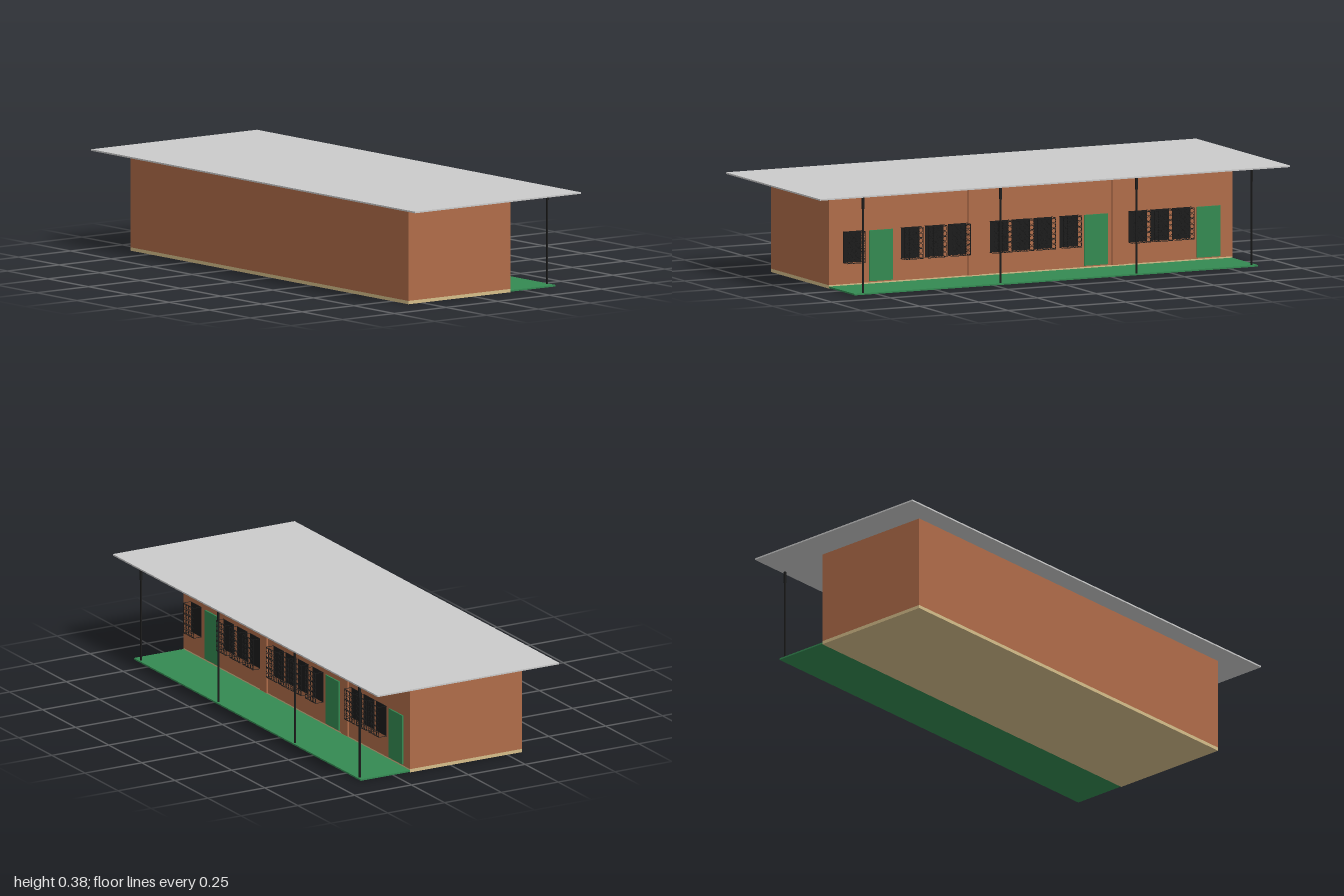
import * as THREE from 'three';
import { mergeGeometries } from 'three/addons/utils/BufferGeometryUtils.js';

const material = (color) => new THREE.MeshStandardMaterial({ color });
const brick = material(0xb06c49), green = material(0x348a52), sand = material(0xd6be8a);
const black = material(0x1c1c1c), grey = material(0xcccccc);

// Box geometry given by its limits on each axis
function boxGeo(x0, x1, y0, y1, z0, z1) {
  return new THREE.BoxGeometry(x1 - x0, y1 - y0, z1 - z0)
    .translate((x0 + x1) / 2, (y0 + y1) / 2, (z0 + z1) / 2);
}

const WALL = 0.177, FRONT = 0.85, BACK = -0.865;

// Window: dark pane on the wall with a projecting cage of bars and rings
function makeWindow(width) {
  const y0 = 0.095, y1 = 0.215, out = 0.211, t = 0.0008, h = width / 2;
  const group = new THREE.Group();
  group.name = 'window';
  const pane = new THREE.Mesh(boxGeo(WALL - 0.002, WALL + 0.002, y0, y1, -h, h), black);
  pane.name = 'windowPane';

  const bars = [];
  const cols = 4, rows = 6;
  for (let i = 0; i <= cols; i++) {
    const z = -h + (width * i) / cols;
    bars.push(boxGeo(out - t, out + t, y0, y1, z - t, z + t));
  }
  for (let j = 0; j <= rows; j += 2) {
    const y = y0 + ((y1 - y0) * j) / rows;
    bars.push(boxGeo(out - t, out + t, y - t, y + t, -h, h));
  }
  // Rods tying the cage to the wall
  for (const y of [y0, y1]) for (const z of [-h, h]) {
    bars.push(boxGeo(WALL, out, y - t, y + t, z - t, z + t));
  }
  // Ring ornaments between the bars
  for (let i = 0; i < cols; i++) for (let j = 0; j < rows; j++) {
    bars.push(new THREE.TorusGeometry(0.0085, 0.001, 4, 10).rotateY(Math.PI / 2)
      .translate(out, y0 + ((y1 - y0) * (j + 0.5)) / rows, -h + (width * (i + 0.5)) / cols));
  }
  const grille = new THREE.Mesh(mergeGeometries(bars), black);
  grille.name = 'windowGrille';
  group.add(pane, grille);
  return group;
}

export function createModel() {
  const model = new THREE.Group();
  model.name = 'longHouse';
  const add = (name, mat, ...limits) => {
    const mesh = new THREE.Mesh(boxGeo(...limits), mat);
    mesh.name = name;
    model.add(mesh);
  };

  // Main volumes
  add('foundation', sand, -0.315, WALL, 0, 0.013, BACK, FRONT);
  add('walls', brick, -0.315, WALL, 0.013, 0.376, BACK, FRONT);
  add('porchFloor', green, WALL, 0.395, 0.002, 0.008, BACK, FRONT);
  add('roof', grey, -0.4, 0.4, 0.376, 0.382, -1, 1);

  // Pilasters dividing the porch wall
  for (const z of [0.235, -0.377]) {
    add('pilaster', brick, WALL, 0.183, 0.013, 0.368, z - 0.025, z + 0.025);
  }

  // Doors
  for (const z of [0.63, -0.284, -0.763]) {
    add('door', green, WALL, 0.183, 0.018, 0.213, z - 0.05, z + 0.05);
  }

  // Windows
  for (const z of [0.751, 0.505, 0.403, 0.304, 0.127, 0.034, -0.059, -0.169, -0.463, -0.556, -0.648]) {
    const win = makeWindow(0.078);
    win.position.z = z;
    model.add(win);
  }

  // Porch posts with a small collar under the roof
  for (const z of [0.81, 0.225, -0.353, -0.843]) {
    add('post', black, 0.383, 0.389, 0.008, 0.376, z - 0.003, z + 0.003);
    add('postCollar', black, 0.383, 0.391, 0.33, 0.376, z - 0.004, z + 0.004);
  }
  return model;
}
